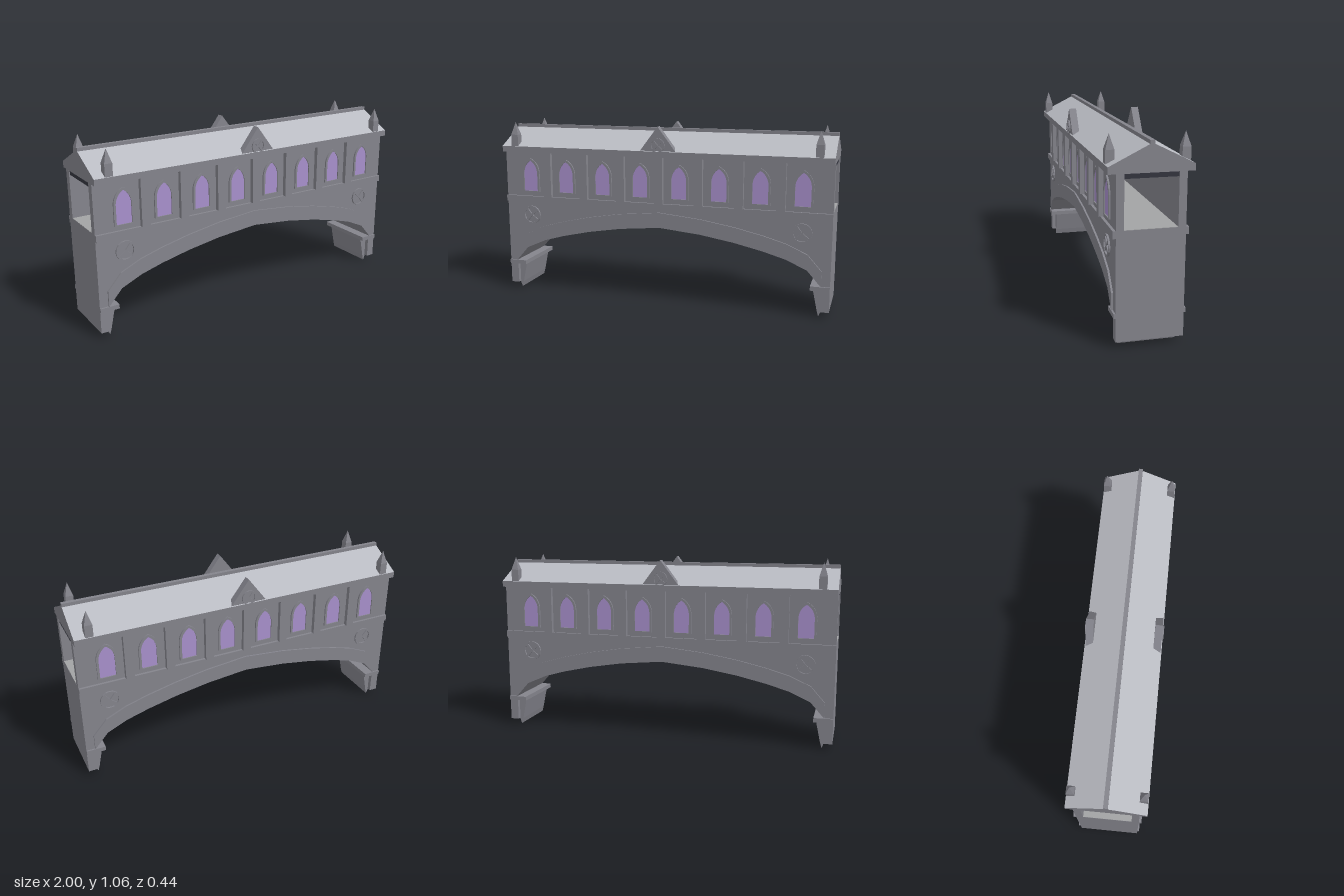
import * as THREE from 'three';

const mat = (name, color) => {
  const m = new THREE.MeshStandardMaterial({ color });
  m.name = name;
  return m;
};

export function createModel() {
  const stone = mat('stone', 0x84848c);
  const roofMat = mat('pale roof', 0xb9bbc2);
  const floorMat = mat('pale floor', 0xa2a3a4);
  const glass = mat('lavender glass', 0xa890cc);
  const dark = mat('dark ceiling', 0x34353f);

  const model = new THREE.Group();
  model.name = 'coveredBridge';

  const add = (parent, name, geo, material, x = 0, y = 0, z = 0) => {
    const m = new THREE.Mesh(geo, material);
    m.name = name;
    m.position.set(x, y, z);
    parent.add(m);
    return m;
  };
  // Box given by its extents on each axis
  const box = (parent, name, x0, x1, y0, y1, z0, z1, material = stone) =>
    add(parent, name, new THREE.BoxGeometry(x1 - x0, y1 - y0, z1 - z0), material,
      (x0 + x1) / 2, (y0 + y1) / 2, (z0 + z1) / 2);
  const poly = (pts) => new THREE.Shape(pts.map(([x, y]) => new THREE.Vector2(x, y)));
  const extrude = (shape, depth) =>
    new THREE.ExtrudeGeometry(shape, { depth, bevelEnabled: false, curveSegments: 8 });

  // Flattened pointed arch under the bridge, from left springing to right
  const half = [[0.95, 0.185], [0.87, 0.275], [0.75, 0.328], [0.62, 0.365],
    [0.45, 0.403], [0.25, 0.436]];
  const curve = [...half.map(([x, y]) => [-x, y]), [0, 0.46],
    ...half.slice().reverse()];
  const raised = (d) => curve.map(([x, y]) => [x, y + d]);

  // Spandrel walls and piers
  add(model, 'bridgeBody', extrude(poly([
    [-1, 0.035], [-0.95, 0.035], ...raised(0.04), [0.95, 0.035], [1, 0.035],
    [1, 0.6], [-1, 0.6],
  ]), 0.35), stone, 0, 0, -0.175);
  // Raised arch ring
  add(model, 'archRing', extrude(poly([...curve, ...raised(0.09).reverse()]), 0.37),
    stone, 0, 0, -0.185);

  // Springing ledges and corbels
  for (const s of [-1, 1]) {
    box(model, 'springingLedge', Math.min(s, s * 0.89), Math.max(s, s * 0.89),
      0.16, 0.185, -0.185, 0.185);
    const corbel = [[0.955, 0.16], [0.955, 0.04], [0.94, 0], [0.93, 0.035], [0.903, 0.16]];
    add(model, 'corbel', extrude(poly(corbel.map(([x, y]) => [s * x, y])), 0.3),
      stone, 0, 0, -0.15);
  }

  // String course, floor, ceiling and cornice
  box(model, 'stringCourse', -1, 1, 0.567, 0.605, -0.19, 0.19);
  box(model, 'corridorFloor', -0.999, 0.999, 0.602, 0.607, -0.136, 0.136, floorMat);
  box(model, 'ceiling', -0.995, 0.995, 0.855, 0.882, -0.136, 0.136, dark);
  box(model, 'cornice', -1, 1, 0.88, 0.915, -0.215, 0.215);

  // Pitched roof with stone gable ends
  const roof = extrude(poly([[-0.215, 0.915], [0.215, 0.915], [0, 1.022]]), 2);
  roof.rotateY(Math.PI / 2);
  add(model, 'roof', roof, [stone, roofMat], -1, 0, 0);
  box(model, 'roofRidge', -1, 1, 1.01, 1.035, -0.012, 0.012);

  // Pointed window outline
  const lancet = (w, y0, spring, top, Type = THREE.Shape) => {
    const p = new Type();
    p.moveTo(-w, y0);
    p.lineTo(w, y0);
    p.lineTo(w, spring);
    p.quadraticCurveTo(w * 0.9, top - 0.025, 0, top);
    p.quadraticCurveTo(-w * 0.9, top - 0.025, -w, spring);
    p.closePath();
    return p;
  };
  const frameShape = lancet(0.058, 0.632, 0.755, 0.84);
  frameShape.holes.push(lancet(0.045, 0.637, 0.752, 0.826, THREE.Path));
  const frameGeo = extrude(frameShape, 0.009);
  const paneGeo = extrude(lancet(0.048, 0.634, 0.753, 0.83), 0.003);

  // Round ornament: ring with four flared petals
  const roundel = (parent, x, y, z, r, depth) => {
    const g = new THREE.Group();
    g.name = 'roundel';
    g.position.set(x, y, z);
    const ring = new THREE.Shape().absarc(0, 0, r, 0, Math.PI * 2);
    ring.holes.push(new THREE.Path().absarc(0, 0, r * 0.84, 0, Math.PI * 2));
    add(g, 'roundelRing', extrude(ring, depth), stone);
    const petal = poly([[0, -r * 0.05], [r * 0.87, -r * 0.15], [r * 0.87, r * 0.15], [0, r * 0.05]]);
    for (let i = 0; i < 4; i++) {
      add(g, 'roundelPetal', extrude(petal, depth * 0.8), stone).rotation.z =
        Math.PI / 4 + i * Math.PI / 2;
    }
    parent.add(g);
  };

  // One long side, then repeated turned about
  const makeSide = (name) => {
    const side = new THREE.Group();
    side.name = name;
    box(side, 'galleryWall', -1, 1, 0.605, 0.88, 0.135, 0.175);
    const bay = 0.238;
    for (let i = 0; i < 8; i++) {
      const x = (i - 3.5) * bay;
      add(side, 'windowFrame', frameGeo, stone, x, 0, 0.175);
      add(side, 'windowPane', paneGeo, glass, x, 0, 0.1745);
      if (i < 7) {
        const c = x + bay / 2;
        box(side, 'pilaster', c - 0.025, c + 0.025, 0.605, 0.88, 0.174, 0.2);
      }
    }
    for (const s of [-1, 1]) {
      roundel(side, s * 0.835, 0.485, 0.175, 0.057, 0.01);
      // Pinnacle: square shaft with a pointed cap
      const w = 0.044;
      box(side, 'pinnacleShaft', s * 0.917 - w / 2, s * 0.917 + w / 2, 0.9, 0.985, 0.168, 0.212);
      const cap = new THREE.ConeGeometry(w / Math.SQRT2, 0.075, 4).toNonIndexed();
      cap.rotateY(Math.PI / 4);
      cap.computeVertexNormals();
      add(side, 'pinnacleCap', cap, stone, s * 0.917, 1.0225, 0.19);
    }
    // Central gablet
    add(side, 'gablet', extrude(poly([[-0.11, 0.913], [0.11, 0.913], [0, 1.058]]), 0.042),
      stone, 0, 0, 0.168);
    roundel(side, 0, 0.95, 0.21, 0.043, 0.008);
    return side;
  };
  model.add(makeSide('frontSide'));
  const back = makeSide('backSide');
  back.rotation.y = Math.PI;
  model.add(back);

  return model;
}
